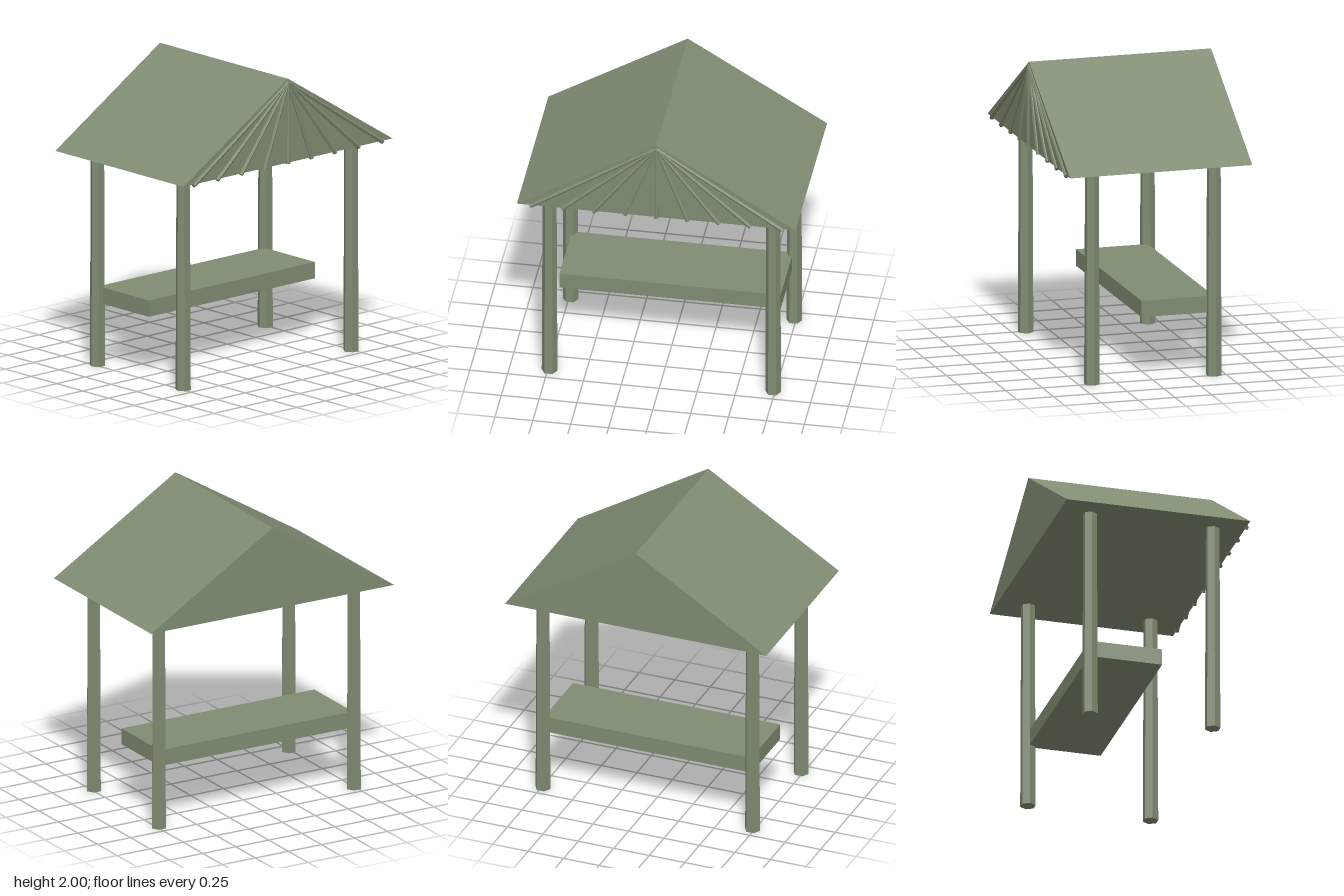
import * as THREE from 'three';

export function createModel() {
  const group = new THREE.Group();
  const paint = new THREE.MeshStandardMaterial({ color: 0x7f8c72 });
  paint.name = 'sage green';
  const flat = (geometry) => {
    const g = geometry.index ? geometry.toNonIndexed() : geometry;
    g.computeVertexNormals();
    return g;
  };
  const add = (name, geometry, x = 0, y = 0, z = 0) => {
    const mesh = new THREE.Mesh(flat(geometry), paint);
    mesh.name = name;
    mesh.position.set(x, y, z);
    group.add(mesh);
    return mesh;
  };

  // Solid gabled roof
  const gable = new THREE.Shape([
    new THREE.Vector2(-0.92, 1.435),
    new THREE.Vector2(0.92, 1.435),
    new THREE.Vector2(0, 2),
  ]);
  add('roof', new THREE.ExtrudeGeometry(gable, { depth: 1.24, bevelEnabled: false }), 0, 0, -0.627);

  // Four slightly tapered hexagonal posts
  for (const [end, z] of [['front', 0.41], ['back', -0.42]]) {
    for (const [side, s] of [['Left', 1], ['Right', -1]]) {
      const post = new THREE.CylinderGeometry(0.046, 0.052, 1.45, 6, 1, false, Math.PI / 6);
      add(`${end}${side}Post`, post, s * 0.738, 0.725, z);
    }
  }

  // Bench between the back posts
  add('bench', new THREE.BoxGeometry(1.46, 0.11, 0.49), 0, 0.475, -0.175);

  // Ribs fanning out from the peak across the front gable
  const peak = new THREE.Vector3(0, 1.975, 0.612);
  const up = new THREE.Vector3(0, 1, 0);
  for (let i = -4; i <= 4; i++) {
    const foot = new THREE.Vector3(i * 0.208, 1.428, 0.612);
    const along = peak.clone().sub(foot);
    const rib = add('gableRib', new THREE.CylinderGeometry(0.012, 0.016, along.length(), 6));
    rib.position.copy(foot).addScaledVector(along, 0.5);
    rib.quaternion.setFromUnitVectors(up, along.normalize());
  }

  return group;
}
